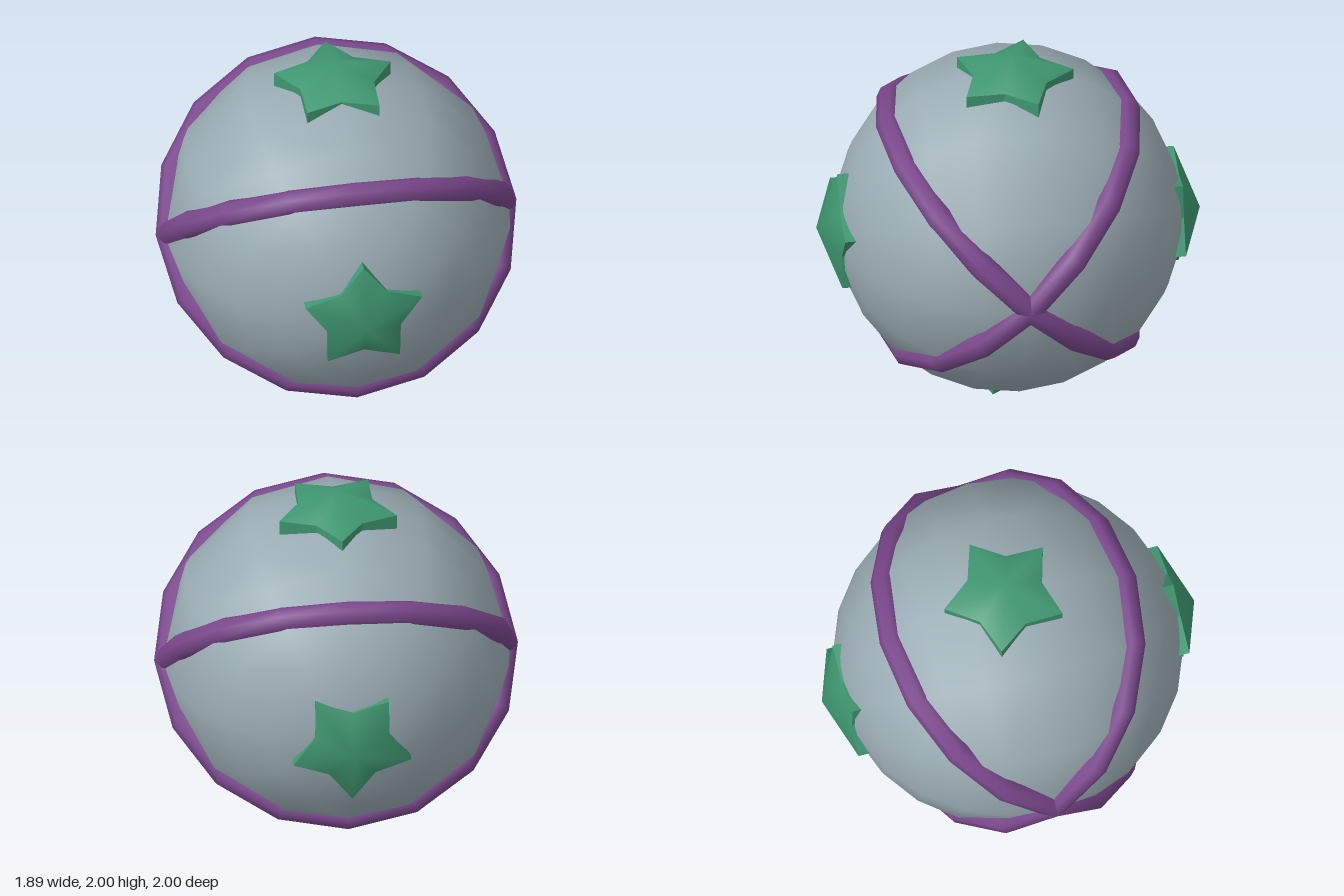
import * as THREE from 'three';
import { mergeGeometries, toCreasedNormals } from 'three/addons/utils/BufferGeometryUtils.js';

const CENTRE_Y = 0.975;

// Five-pointed star facing +z: a raised apex, a rim and short side walls sunk into the ball
function starGeometry() {
  const rim = [];
  for (let i = 0; i < 10; i++) {
    const a = Math.PI / 2 + (i * Math.PI) / 5;
    const r = i % 2 ? 0.203 : 0.322;
    rim.push([r * Math.cos(a), 0.02 + r * Math.sin(a), i % 2 ? 0.892 : 0.888]);
  }
  const build = (points, index) => {
    const g = new THREE.BufferGeometry();
    g.setAttribute('position', new THREE.Float32BufferAttribute(points.flat(), 3));
    g.setIndex(index);
    g.computeVertexNormals();
    return g;
  };
  const cap = [], wall = [];
  for (let i = 0; i < 10; i++) {
    const j = (i + 1) % 10;
    cap.push(10, i, j);
    wall.push(i, i + 10, j + 10, i, j + 10, j);
  }
  const base = rim.map(([x, y]) => [x, y, 0.8]);
  const top = build([...rim, [0, 0.02, 1]], cap).toNonIndexed();
  const sides = toCreasedNormals(build([...rim, ...base], wall), 0.3);
  return mergeGeometries([top, sides]);
}

export function createModel() {
  const model = new THREE.Group();
  model.name = 'decoratedBall';
  const material = (color) => new THREE.MeshStandardMaterial({ color });
  const purple = material(0x7a478c);
  const green = material(0x3f9771);

  const add = (name, geometry, mat, turn) => {
    const mesh = new THREE.Mesh(geometry, mat);
    mesh.name = name;
    mesh.rotation.x = turn;
    mesh.position.y = CENTRE_Y;
    model.add(mesh);
  };

  // Ball with its poles at front and back
  add('ball', new THREE.SphereGeometry(0.905, 12, 12), material(0x9aabb3), Math.PI / 2);

  // Two bands crossing at the left and right ends
  const band = new THREE.TorusGeometry(0.875, 0.07, 8, 16);
  add('bandRisingToBack', band, purple, -Math.PI / 4);
  add('bandRisingToFront', band, purple, Math.PI / 4);

  // Four stars, a quarter turn apart
  const star = starGeometry();
  ['frontStar', 'topStar', 'backStar', 'bottomStar'].forEach((name, i) =>
    add(name, star, green, (-i * Math.PI) / 2));

  return model;
}
